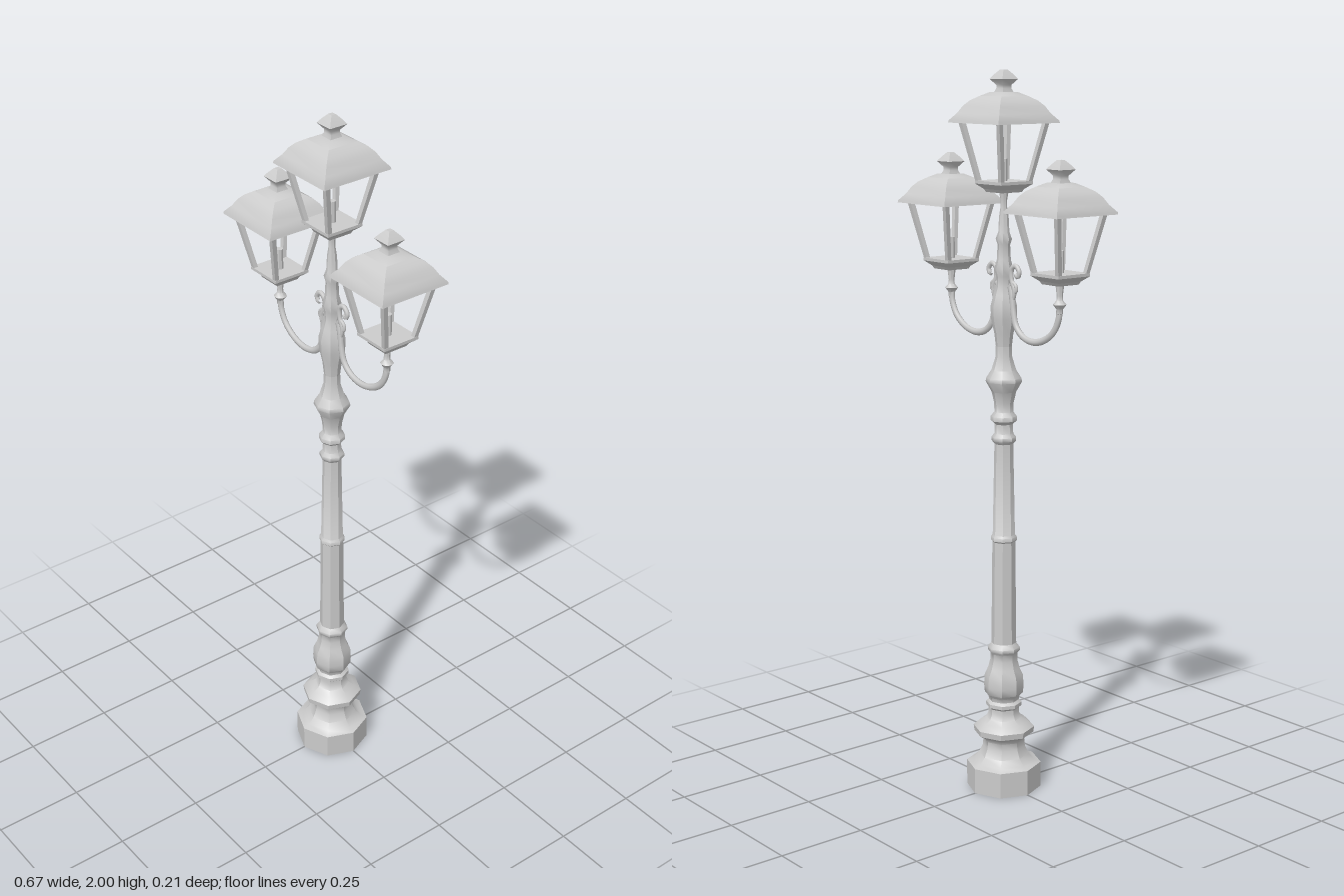
import * as THREE from 'three';
import { toCreasedNormals } from 'three/addons/utils/BufferGeometryUtils.js';

const metal = new THREE.MeshStandardMaterial({ color: 0xcccccc });

function add(parent, name, geometry) {
  const mesh = new THREE.Mesh(geometry, metal);
  mesh.name = name;
  parent.add(mesh);
  return mesh;
}

// Turned profile of [radius, y] pairs with sharp vertical edges
function turned(profile, sides) {
  const points = profile.map(([r, y]) => new THREE.Vector2(r, y));
  return toCreasedNormals(new THREE.LatheGeometry(points, sides), 0.7);
}

// Square version: profile gives half-widths, sides face the axes
function square(profile) {
  const widened = profile.map(([w, y]) => [w * Math.SQRT2, y]);
  const points = widened.map(([r, y]) => new THREE.Vector2(r, y));
  const g = new THREE.LatheGeometry(points, 4);
  g.rotateY(Math.PI / 4);
  return toCreasedNormals(g, 0.7);
}

// Lantern, with y = 0 at the bottom of its tray
function lantern() {
  const group = new THREE.Group();
  group.name = 'lantern';
  add(group, 'tray', square([[0, 0], [0.034, 0], [0.038, 0.008], [0.055, 0.022], [0.055, 0.03], [0, 0.03]]));
  add(group, 'candle', turned([[0, 0.03], [0.01, 0.03], [0.01, 0.088], [0, 0.088]], 8));
  add(group, 'roof', square([
    [0, 0.182], [0.105, 0.182], [0.104, 0.188], [0.088, 0.207], [0.077, 0.226],
    [0.064, 0.24], [0.045, 0.252], [0.026, 0.262], [0, 0.262],
  ]));
  add(group, 'finial', square([
    [0.02, 0.258], [0.014, 0.272], [0.014, 0.28], [0.027, 0.296], [0.018, 0.308], [0.007, 0.32], [0, 0.32],
  ]));
  // Slanted corner bars
  for (const sx of [-1, 1]) for (const sz of [-1, 1]) {
    const low = new THREE.Vector3(0.047 * sx, 0.025, 0.047 * sz);
    const high = new THREE.Vector3(0.079 * sx, 0.185, 0.079 * sz);
    const dir = high.clone().sub(low);
    const g = new THREE.CylinderGeometry(0.0095, 0.0085, dir.length(), 4).toNonIndexed();
    g.rotateY(Math.PI / 4);
    g.computeVertexNormals();
    const bar = add(group, 'cornerBar', g);
    bar.position.copy(low).lerp(high, 0.5);
    bar.quaternion.setFromUnitVectors(new THREE.Vector3(0, 1, 0), dir.normalize());
  }
  return group;
}

function ribbon(points, radius, segments) {
  const curve = new THREE.CatmullRomCurve3(points.map(([x, y]) => new THREE.Vector3(x, y, 0)));
  const g = new THREE.TubeGeometry(curve, segments, radius, 8);
  g.scale(1, 1, 0.75);
  return g;
}

// Side arm with scroll, cup and lantern
function arm(side) {
  const group = new THREE.Group();
  group.name = side > 0 ? 'leftArm' : 'rightArm';
  const flip = (pts) => pts.map(([x, y]) => [x * side, y]);
  add(group, 'curvedArm', ribbon(flip([
    [0.228, 1.4], [0.224, 1.363], [0.205, 1.328], [0.168, 1.301], [0.122, 1.29],
    [0.08, 1.299], [0.052, 1.324], [0.04, 1.362], [0.035, 1.4], [0.028, 1.43],
  ]), 0.0095, 48));
  add(group, 'upperScroll', ribbon(flip([
    [0.036, 1.39], [0.044, 1.42], [0.032, 1.45], [0.034, 1.478], [0.05, 1.486],
    [0.064, 1.472], [0.058, 1.458], [0.05, 1.464],
  ]), 0.0075, 36));
  add(group, 'lowerScroll', ribbon(flip([
    [0.022, 1.42], [0.036, 1.44], [0.05, 1.432], [0.05, 1.418], [0.042, 1.416],
  ]), 0.006, 20));
  const cup = add(group, 'cup', turned([
    [0, 1.375], [0.009, 1.378], [0.009, 1.39], [0.018, 1.402], [0.009, 1.413], [0.008, 1.425], [0.012, 1.457], [0, 1.457],
  ], 8));
  cup.position.x = 0.228 * side;
  const lamp = lantern();
  lamp.position.set(0.229 * side, 1.455, 0);
  group.add(lamp);
  return group;
}

export function createModel() {
  const model = new THREE.Group();
  model.name = 'streetLamp';

  // Octagonal pedestal and urn-shaped foot
  add(model, 'base', turned([
    [0, 0], [0.105, 0], [0.105, 0.072], [0.086, 0.08], [0.07, 0.097], [0.06, 0.12], [0.058, 0.14],
    [0.066, 0.152], [0.084, 0.162], [0.086, 0.178], [0.068, 0.194], [0.05, 0.205], [0.043, 0.22],
    [0.043, 0.234], [0.05, 0.24], [0.05, 0.25], [0.042, 0.257], [0.044, 0.268], [0.054, 0.278],
    [0.056, 0.3], [0.054, 0.33], [0.044, 0.352], [0.038, 0.375], [0.038, 0.395], [0.045, 0.403],
    [0.045, 0.412], [0.035, 0.425],
  ], 8));

  // Tapering shaft with collars
  add(model, 'shaft', turned([
    [0.035, 0.425], [0.032, 0.718], [0.036, 0.722], [0.036, 0.732], [0.031, 0.738], [0.026, 0.995],
    [0.034, 1.004], [0.034, 1.014], [0.026, 1.024], [0.025, 1.05], [0.036, 1.06], [0.036, 1.072],
    [0.026, 1.084], [0.027, 1.11], [0.034, 1.14], [0.05, 1.168], [0.048, 1.178], [0.034, 1.2],
    [0.023, 1.235], [0.022, 1.265],
  ], 8));

  // Slender neck rising to the centre lantern
  add(model, 'neck', turned([
    [0.022, 1.265], [0.026, 1.3], [0.035, 1.34], [0.036, 1.375], [0.028, 1.405], [0.02, 1.43],
    [0.021, 1.455], [0.026, 1.475], [0.019, 1.5], [0.017, 1.54], [0.022, 1.555], [0.015, 1.575],
    [0.013, 1.615], [0.009, 1.64], [0.009, 1.66], [0.013, 1.683], [0, 1.683],
  ], 8));

  const top = lantern();
  top.position.y = 1.68;
  model.add(top, arm(1), arm(-1));
  return model;
}
